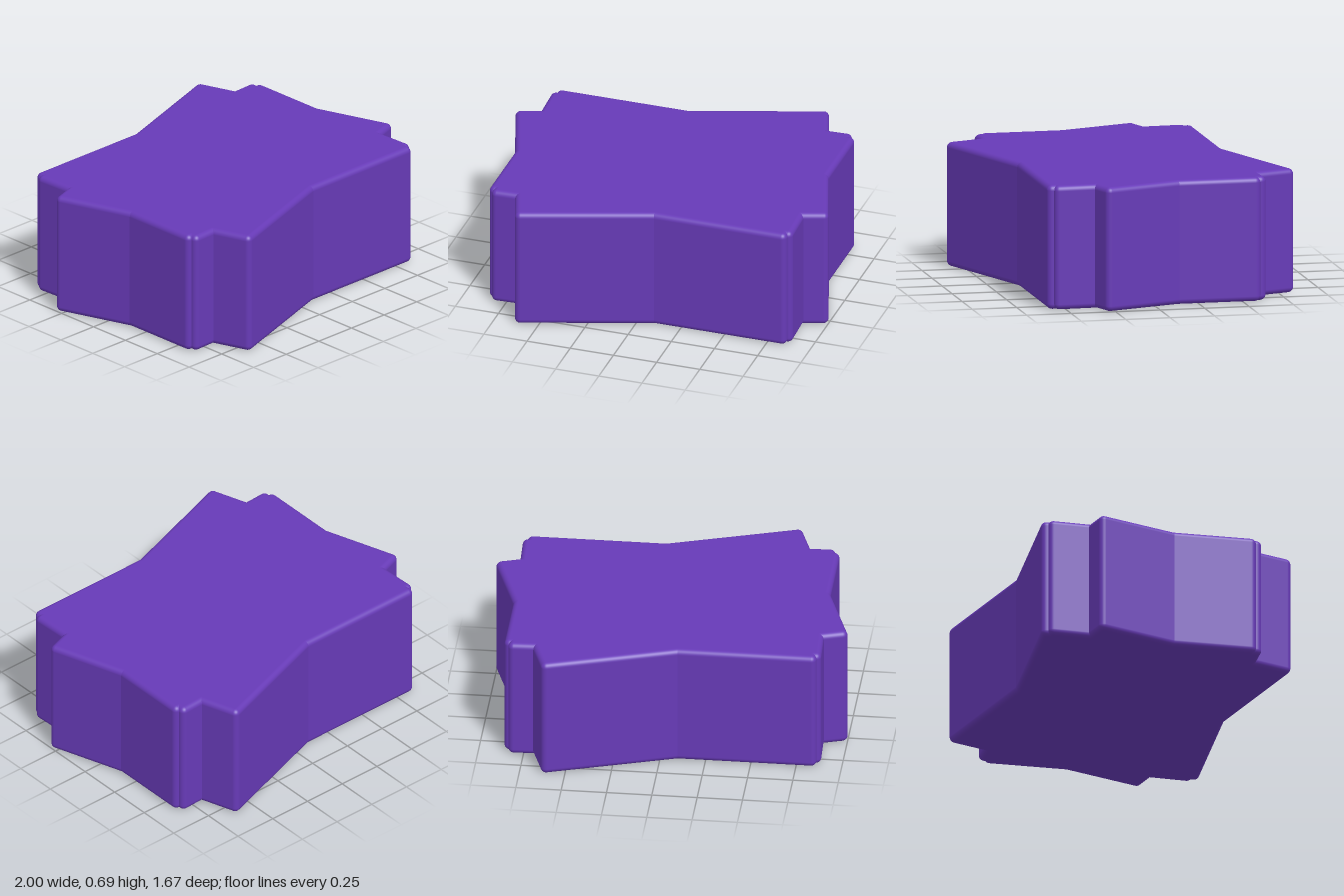
import * as THREE from 'three';
import { RoundedBoxGeometry } from 'three/addons/geometries/RoundedBoxGeometry.js';

// Three equal rounded blocks sharing one centre, each turned about the vertical axis
export function createModel() {
  const group = new THREE.Group();
  group.name = 'turnedBlocks';

  const purple = new THREE.MeshStandardMaterial({ color: 0x673ab7 });
  purple.name = 'purple';

  const width = 1.72, height = 0.69, depth = 1.2, radius = 0.03;
  const geometry = new RoundedBoxGeometry(width, height, depth, 4, radius);

  const blocks = [
    ['straightBlock', 0],
    ['slightlyTurnedBlock', 2.4],
    ['turnedBlock', 18.6],
  ];
  for (const [name, degrees] of blocks) {
    const block = new THREE.Mesh(geometry, purple);
    block.name = name;
    block.position.y = height / 2;
    block.rotation.y = THREE.MathUtils.degToRad(degrees);
    group.add(block);
  }
  return group;
}
